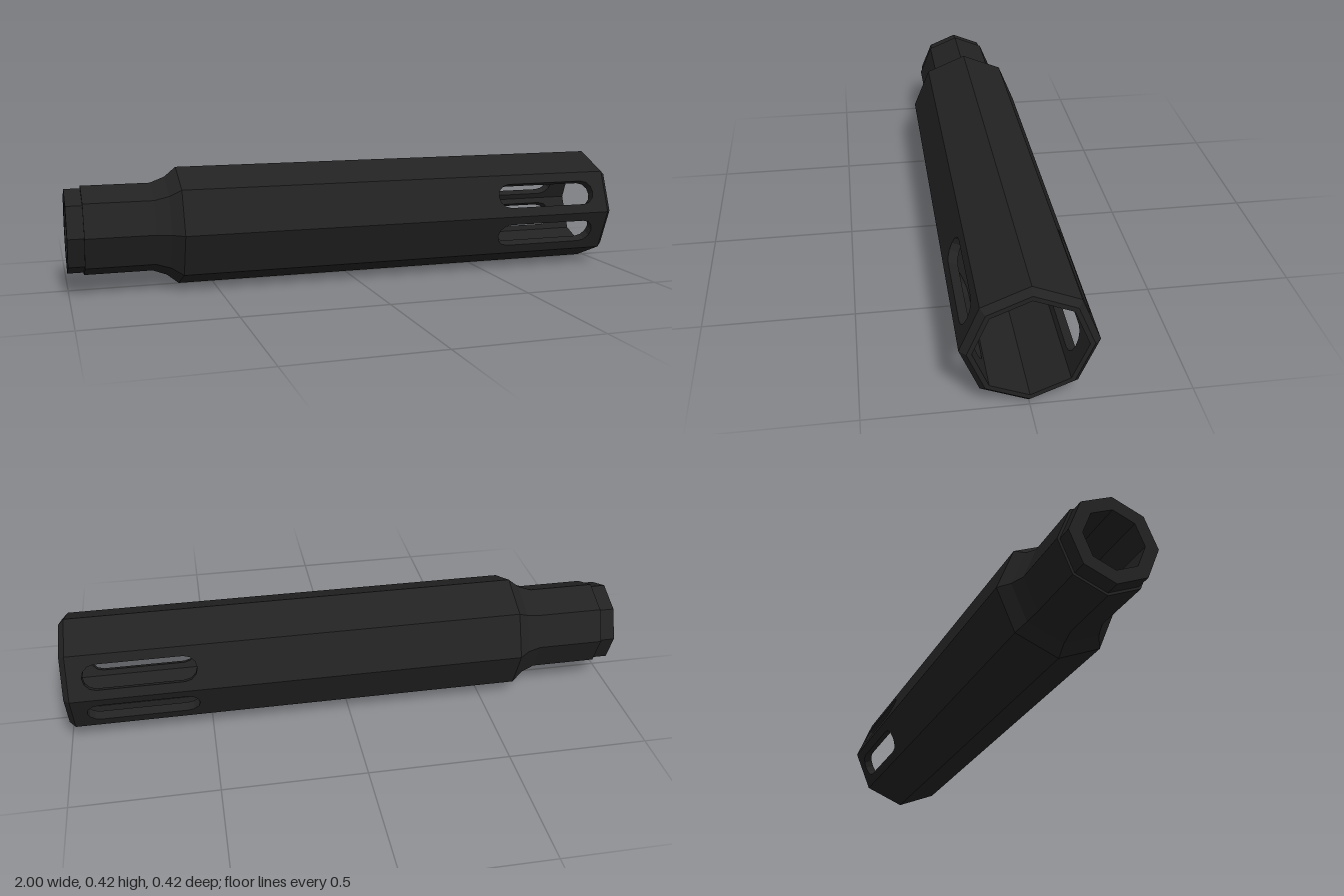
import * as THREE from 'three';

const R = 0.208;          // outer corner radius of the octagon
const R_IN = 0.172;       // inner corner radius of the barrel
const BORE = 0.102;
const START = -0.62, END = 0.98;
const HALF = Math.PI / 8;

// Eight-sided faceted lathe along x, from [radius, x] pairs
function octagonLathe(profile) {
  const g = new THREE.LatheGeometry(profile.map(([r, x]) => new THREE.Vector2(r, x)), 8);
  g.rotateZ(-Math.PI / 2);
  const flat = g.toNonIndexed();
  flat.computeVertexNormals();
  return flat;
}

// One mitred barrel wall panel, with an optional rounded slot
function barrelPanel(slotted) {
  const w = R * Math.sin(HALF);
  const shape = new THREE.Shape([
    new THREE.Vector2(START, -w), new THREE.Vector2(END, -w),
    new THREE.Vector2(END, w), new THREE.Vector2(START, w),
  ]);
  if (slotted) {
    const r = 0.045, x0 = 0.54, x1 = 0.93;
    const hole = new THREE.Path();
    hole.absarc(x1 - r, 0, r, -Math.PI / 2, Math.PI / 2, false);
    hole.absarc(x0 + r, 0, r, Math.PI / 2, Math.PI * 1.5, false);
    hole.closePath();
    shape.holes.push(hole);
  }
  const outer = R * Math.cos(HALF), inner = R_IN * Math.cos(HALF);
  const g = new THREE.ExtrudeGeometry(shape, {
    depth: outer - inner, bevelEnabled: false, curveSegments: 3,
  });
  g.translate(0, 0, inner);
  // Narrow the inner long edges so neighbouring panels meet on a mitre
  const p = g.attributes.position;
  for (let i = 0; i < p.count; i++) {
    if (Math.abs(p.getY(i)) > 0.06 && p.getZ(i) < (inner + outer) / 2) {
      p.setY(i, p.getY(i) * R_IN / R);
    }
  }
  g.computeVertexNormals();
  return g;
}

export function createModel() {
  const model = new THREE.Group();
  model.name = 'slottedBarrel';
  const black = new THREE.MeshStandardMaterial({ color: 0x222222 });
  black.name = 'matteBlack';

  const add = (geometry, name) => {
    const mesh = new THREE.Mesh(geometry, black);
    mesh.name = name;
    mesh.position.y = R;
    model.add(mesh);
    return mesh;
  };

  // Stepped neck, flared collar, inner shoulder and bore
  add(octagonLathe([
    [BORE, -1], [0.147, -1], [0.147, -0.945], [0.156, -0.945], [0.156, -0.71],
    [0.175, -0.66], [R, START], [BORE, START], [BORE, -1],
  ]), 'neck');

  // Barrel walls: the four side panels are slotted
  const plain = barrelPanel(false), slotted = barrelPanel(true);
  for (let i = 0; i < 8; i++) {
    const angle = HALF + i * Math.PI / 4;
    const isSide = Math.abs(Math.sin(angle)) < 0.5;
    add(isSide ? slotted : plain, isSide ? 'slottedPanel' : 'plainPanel').rotation.x = angle;
  }

  // Chamfered open end
  add(octagonLathe([[R, END], [0.188, 1], [R_IN, 1], [R_IN, END]]), 'muzzleRim');

  return model;
}
